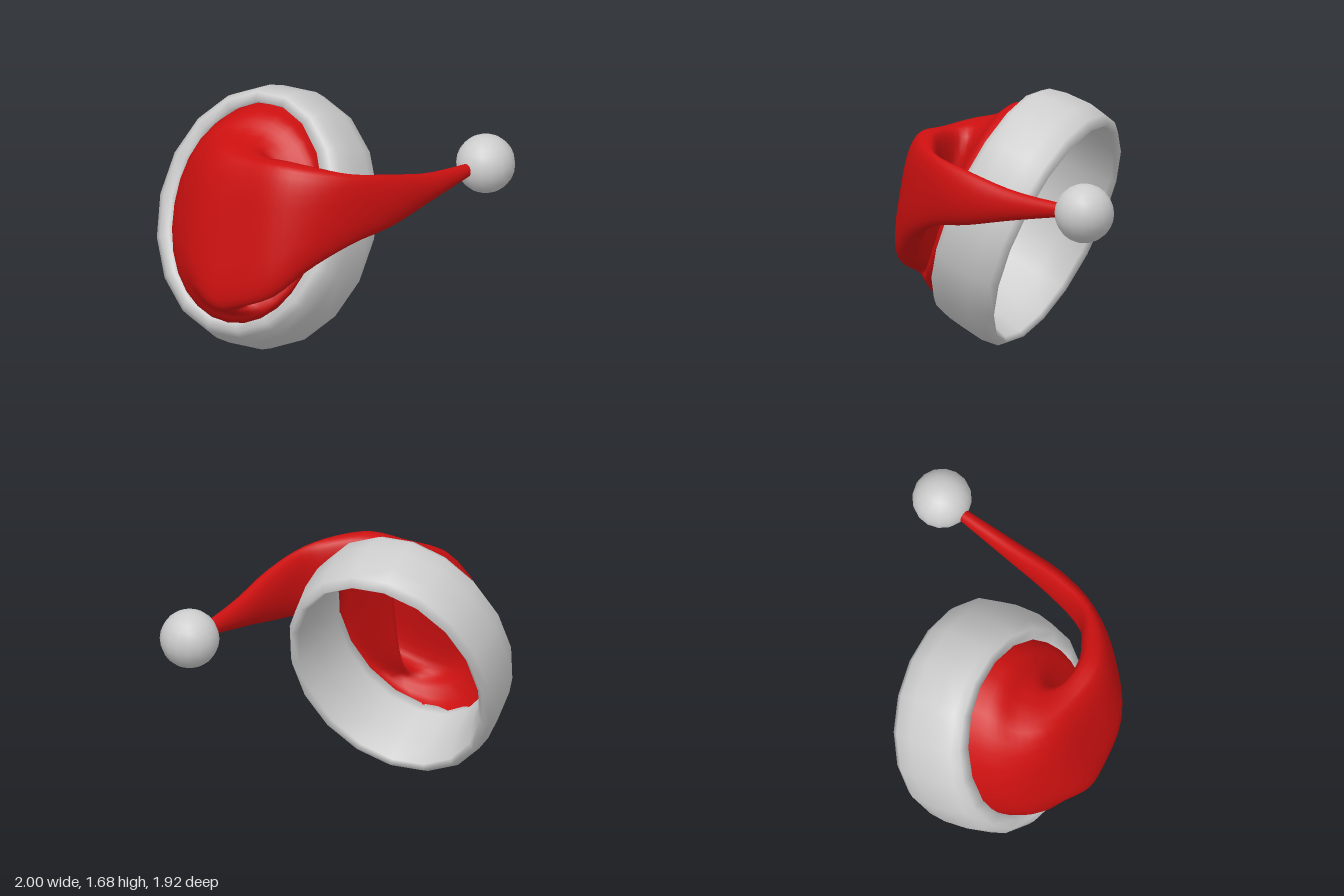
import * as THREE from 'three';

const red = new THREE.MeshStandardMaterial({ color: 0xcc1010, side: THREE.DoubleSide });
red.name = 'red cloth';
const white = new THREE.MeshStandardMaterial({ color: 0xcccccc, side: THREE.DoubleSide });
white.name = 'pale fur';

// Smooth skin over rings of points; closed joins the last ring to the first
function loft(rings, closed) {
  const n = rings[0].length, m = rings.length, index = [];
  for (let i = 0; i < (closed ? m : m - 1); i++) {
    for (let j = 0; j < n; j++) {
      const a = i * n + j, b = i * n + (j + 1) % n;
      const c = ((i + 1) % m) * n + j, d = ((i + 1) % m) * n + (j + 1) % n;
      index.push(a, c, b, b, c, d);
    }
  }
  const g = new THREE.BufferGeometry().setFromPoints(rings.flat());
  g.setIndex(index);
  g.computeVertexNormals();
  return g;
}

// Ring of points centre + h cos + v sin; power below 1 makes it squarer
function ring(centre, h, v, sides, power = 1) {
  const bend = t => Math.sign(t) * Math.pow(Math.abs(t), power);
  return Array.from({ length: sides }, (_, j) => {
    const t = j / sides * Math.PI * 2;
    return centre.clone().addScaledVector(h, bend(Math.cos(t))).addScaledVector(v, bend(Math.sin(t)));
  });
}

const V = (x, y, z) => new THREE.Vector3(x, y, z);

// Tilted oval fur band: [distance along axis, half width, half height]
function makeBrim() {
  const axis = V(0, 0.389, 0.921), up = V(0, 0.921, -0.389);
  const profile = [
    [0.25, 0.68, 0.80], [0.30, 0.71, 0.85], [0.42, 0.725, 0.87], [0.60, 0.72, 0.855],
    [0.72, 0.69, 0.825], [0.765, 0.64, 0.79], [0.785, 0.565, 0.735],
    [0.70, 0.545, 0.715], [0.45, 0.58, 0.735], [0.28, 0.64, 0.775],
  ];
  const rings = profile.map(([a, w, h]) => {
    const c = axis.clone().multiplyScalar(a).addScaledVector(up, 0.707);
    c.x = -0.275;
    return ring(c, V(-w, 0, 0), up.clone().multiplyScalar(h), 18);
  });
  return new THREE.Mesh(loft(rings, true), white);
}

// Folded cloth cone: [outer x, z, inner x, z, centre y, v x, v y, v z, power]
function makeCap() {
  const sections = [
    [-0.82, 0.40, 0.29, 0.40, 0.935, 0, 0.675, -0.285, 1],
    [-0.75, 0.56, 0.28, 0.48, 0.95, -0.03, 0.64, -0.25, 0.95],
    [-0.62, 0.70, 0.20, 0.52, 0.94, -0.08, 0.56, -0.20, 0.85],
    [-0.39, 0.83, 0.04, 0.58, 0.94, -0.07, 0.52, -0.15, 0.65],
    [-0.10, 0.87, -0.02, 0.63, 0.95, 0, 0.49, -0.11, 0.6],
    [0.20, 0.86, 0.16, 0.63, 1.01, 0, 0.44, -0.08, 0.65],
    [0.42, 0.72, 0.32, 0.54, 1.09, 0, 0.33, -0.04, 0.75],
    [0.60, 0.47, 0.48, 0.42, 1.13, 0, 0.24, 0, 0.9],
    [0.72, 0.18, 0.58, 0.12, 1.12, 0, 0.18, 0, 1],
    [0.77, -0.20, 0.65, -0.22, 1.11, 0, 0.10, 0, 1],
    [0.81, -0.63, 0.73, -0.63, 1.12, 0, 0.04, 0, 1],
  ];
  const sides = 28, steps = 36;
  const keys = sections.map(([ox, oz, ix, iz, y, vx, vy, vz, p]) =>
    ring(V((ox + ix) / 2, y, (oz + iz) / 2), V((ox - ix) / 2, 0, (oz - iz) / 2), V(vx, vy, vz), sides, p));
  const curves = keys[0].map((_, j) => new THREE.CatmullRomCurve3(keys.map(k => k[j])));
  const rings = Array.from({ length: steps + 1 }, (_, i) => curves.map(c => c.getPoint(i / steps)));
  return new THREE.Mesh(loft(rings, false), red);
}

export function createModel() {
  const hat = new THREE.Group();
  hat.name = 'hat';

  const brim = makeBrim();
  brim.name = 'furBrim';

  const cap = makeCap();
  cap.name = 'foldedCap';

  // Ball on the tip
  const pompom = new THREE.Mesh(new THREE.SphereGeometry(0.195, 16, 12), white);
  pompom.name = 'pompom';
  pompom.position.set(0.8, 1.12, -0.785);

  hat.add(brim, cap, pompom);
  return hat;
}
